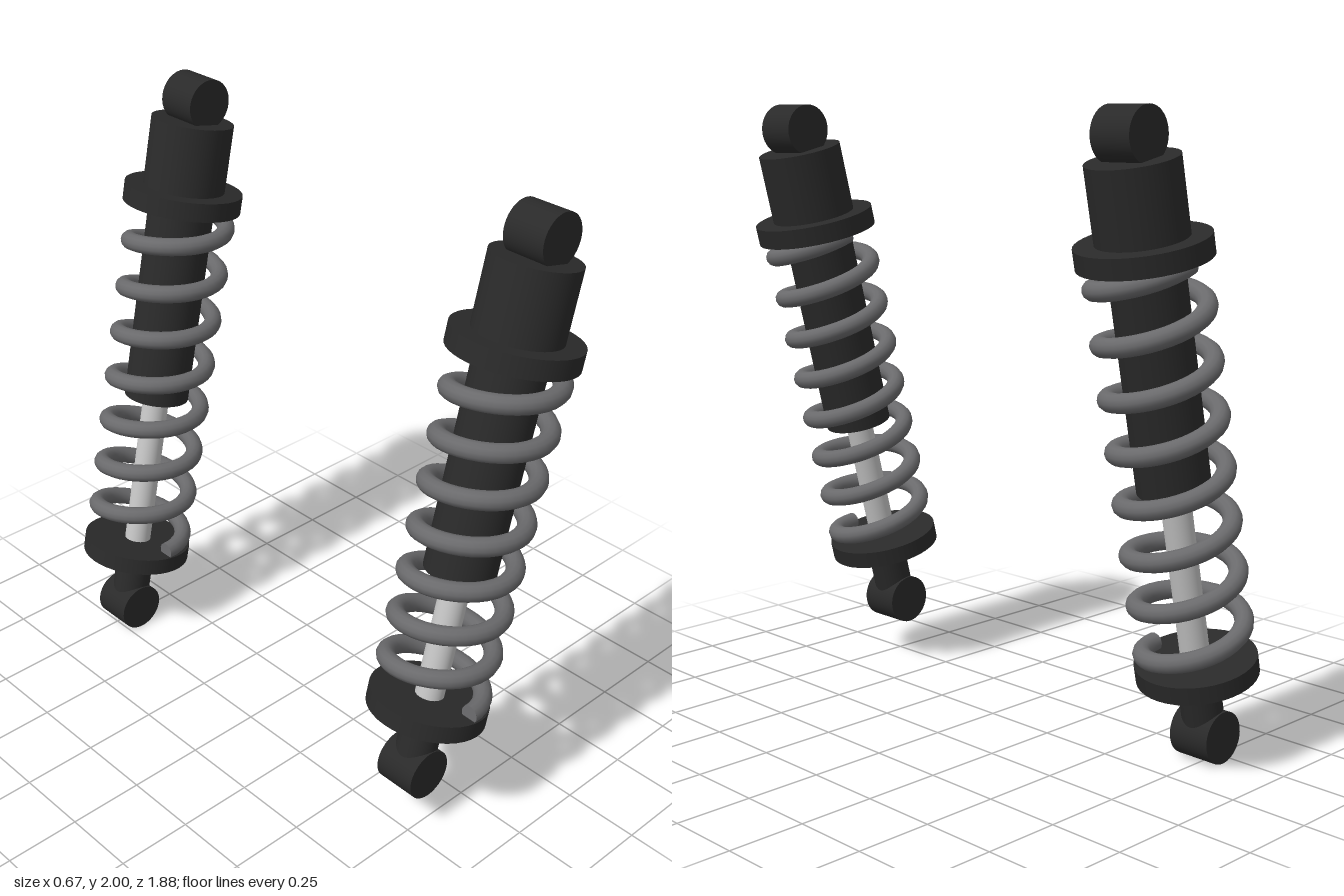
import * as THREE from 'three';

const mat = (name, color) => {
  const m = new THREE.MeshStandardMaterial({ color });
  m.name = name;
  return m;
};

// Helix around y: starts at +z and climbs through +x
class Helix extends THREE.Curve {
  constructor(radius, y0, y1, turns) {
    super();
    Object.assign(this, { radius, y0, y1, turns });
  }
  getPoint(t, target = new THREE.Vector3()) {
    const a = t * this.turns * Math.PI * 2;
    return target.set(Math.sin(a) * this.radius, this.y0 + (this.y1 - this.y0) * t, Math.cos(a) * this.radius);
  }
}

export function createModel() {
  const black = mat('black metal', 0x2a2a2a);
  const grey = mat('spring steel', 0x6a6a6c);
  const silver = mat('polished rod', 0xc6c6c6);
  const UP = new THREE.Vector3(0, 1, 0);

  function shock(name, top, bottom) {
    const group = new THREE.Group();
    group.name = name;
    const axis = top.clone().sub(bottom);
    const L = axis.length();

    // Body along the local y axis, with the lower eye at the origin
    const body = new THREE.Group();
    body.name = 'body';
    body.position.copy(bottom);
    body.quaternion.setFromUnitVectors(UP, axis.normalize());
    group.add(body);

    const add = (parent, part, geometry, material) => {
      const mesh = new THREE.Mesh(geometry, material);
      mesh.name = part;
      parent.add(mesh);
      return mesh;
    };
    const rod = (part, r, y0, y1, material) => {
      add(body, part, new THREE.CylinderGeometry(r, r, y1 - y0, 40), material).position.y = (y0 + y1) / 2;
    };
    rod('topCap', 0.138, L - 0.3, L - 0.068, black);
    rod('upperSpringSeat', 0.2, L - 0.36, L - 0.297, black);
    rod('damperTube', 0.112, L - 1.055, L - 0.34, black);
    rod('pistonRod', 0.046, 0.24, L - 1.04, silver);
    rod('lowerSpringSeat', 0.19, 0.203, 0.26, black);
    rod('lowerStem', 0.066, 0, 0.22, black);

    // Coil spring with closed ends
    const helix = new Helix(0.16, 0.275, L - 0.36, 7.5);
    add(body, 'spring', new THREE.TubeGeometry(helix, 260, 0.03, 12), grey);
    for (const t of [0, 1]) {
      const end = add(body, 'springEnd', new THREE.CircleGeometry(0.03, 12), grey);
      const normal = helix.getTangent(t).multiplyScalar(t ? 1 : -1);
      end.position.copy(helix.getPoint(t));
      end.quaternion.setFromUnitVectors(new THREE.Vector3(0, 0, 1), normal);
    }

    // Mounting eyes stay square to z
    for (const [part, p] of [['upperEye', top], ['lowerEye', bottom]]) {
      const eye = add(group, part, new THREE.CylinderGeometry(0.083, 0.083, 0.143, 40), black);
      eye.rotation.x = Math.PI / 2;
      eye.position.copy(p);
    }
    return group;
  }

  const model = new THREE.Group();
  model.name = 'shockAbsorbers';
  model.add(
    shock('frontShock', new THREE.Vector3(0.2, 1.917, 0.745), new THREE.Vector3(-0.198, 0.22, 0.71)),
    shock('backShock', new THREE.Vector3(0.2, 1.917, -0.737), new THREE.Vector3(-0.198, 0.084, -0.737))
  );
  return model;
}
